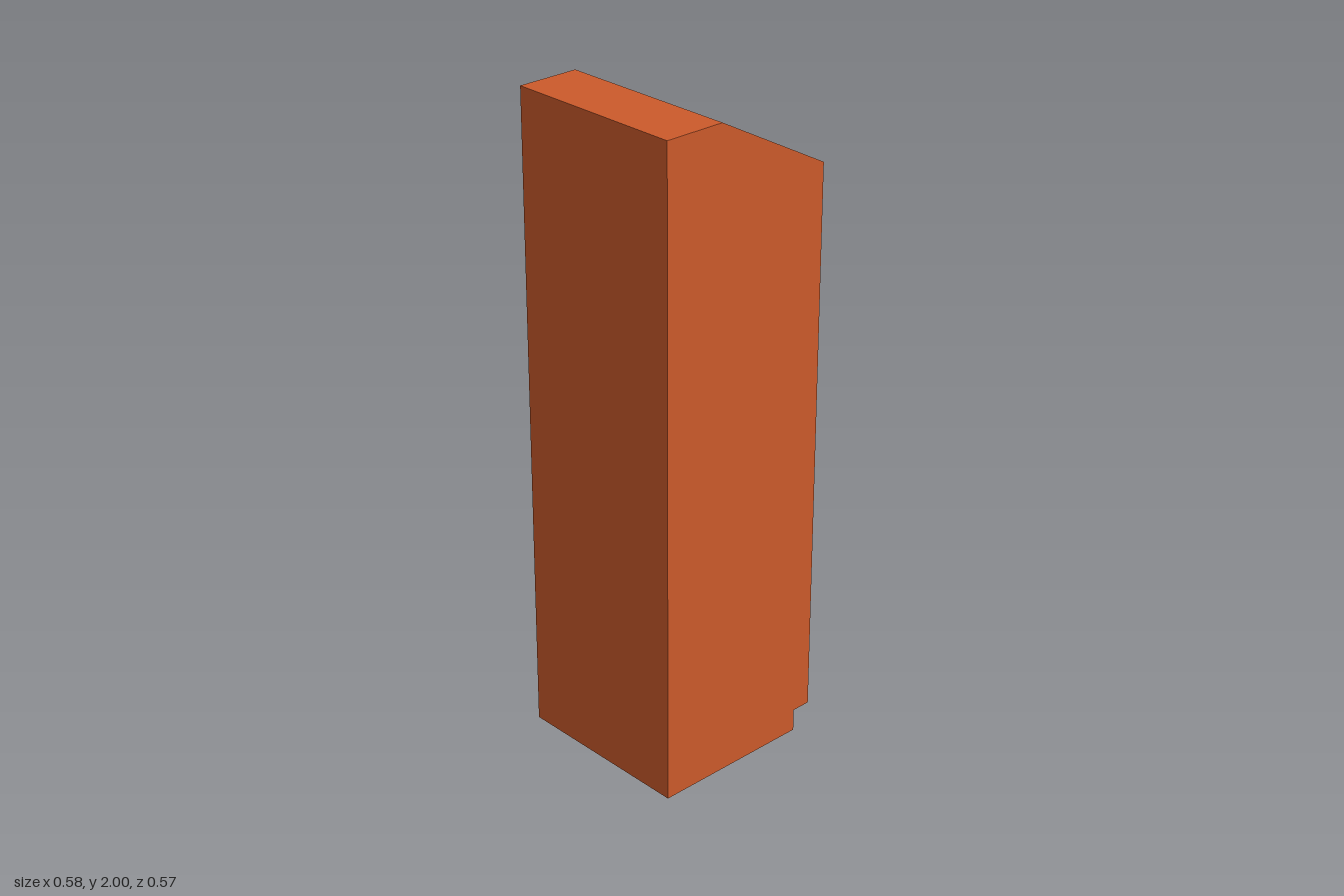
import * as THREE from 'three';

const mat = (color) => new THREE.MeshStandardMaterial({ color });

const polygon = (points, Type = THREE.Shape) => new Type(points.map(([x, y]) => new THREE.Vector2(x, y)));

const rect = (x0, y0, x1, y1) => [[x0, y0], [x1, y0], [x1, y1], [x0, y1]];

// Extrudes an x-y outline along z, from z0 to z1
function alongZ(name, shape, z0, z1, material) {
  const geo = new THREE.ExtrudeGeometry(shape, { depth: z1 - z0, bevelEnabled: false });
  geo.translate(0, 0, z0);
  const mesh = new THREE.Mesh(geo, material);
  mesh.name = name;
  return mesh;
}

// Extrudes an outline on the door side (u = -z, v = y) along x, from x0 to x1
function alongX(name, shape, x0, x1, material) {
  const geo = new THREE.ExtrudeGeometry(shape, { depth: x1 - x0, bevelEnabled: false });
  geo.rotateY(Math.PI / 2).translate(x0, 0, 0);
  const mesh = new THREE.Mesh(geo, material);
  mesh.name = name;
  return mesh;
}

export function createModel() {
  const locker = new THREE.Group();
  locker.name = 'locker';
  const paint = mat(0xcc5a2b);
  const doorPaint = mat(0xcdc4c7);
  const steel = mat(0x8c8c8c);

  const W = 0.286;      // half width
  const T = 0.02;       // sheet thickness
  const F = 0.285;      // front face
  const B = -0.288;     // back face

  // Base, back and sloped top as one folded section
  const outer = [
    [F - T, 0.07], [0.225, 0.07], [0.225, 0], [B, 0], [B, 2],
    [-0.095, 2], [F, 1.795], [F - T, 1.795],
  ];
  const inner = [[F - T, 1.782], [-0.1, 1.978], [B + T, 1.978], [B + T, 0.09], [F - T, 0.09]];
  locker.add(alongZ('cabinetShell', polygon([...outer, ...inner]), -W + T, W - T, paint));

  // Side panels
  locker.add(alongZ('leftSidePanel', polygon(outer), W - T, W, paint));
  locker.add(alongZ('rightSidePanel', polygon(outer), -W, -W + T, paint));

  // Door frame
  const frame = polygon(rect(-W, 0.07, W, 1.795));
  frame.holes.push(polygon(rect(-0.255, 0.105, 0.252, 1.757), THREE.Path));
  locker.add(alongX('doorFrame', frame, F - T, F, paint));

  // Door with two sets of pointed vent slots
  const door = polygon(rect(-0.25, 0.11, 0.247, 1.752));
  for (const top of [1.546, 0.419]) {
    for (let i = 0; i < 4; i++) {
      const y = top - i * 0.0245;
      const h = 0.006;
      door.holes.push(polygon([
        [-0.148, y], [-0.11, y - h], [0.11, y - h], [0.148, y], [0.11, y + h], [-0.11, y + h],
      ], THREE.Path));
    }
  }
  locker.add(alongX('door', door, 0.267, 0.277, doorPaint));

  // Latch: plate, lever and two round buttons
  const latch = new THREE.Group();
  latch.name = 'latch';
  const plate = polygon([[0.122, 1.043], [0.122, 0.965], [0.17, 0.825], [0.22, 0.825], [0.22, 1.043]]);
  latch.add(alongX('latchPlate', plate, 0.277, 0.284, steel));
  latch.add(alongX('latchLever', polygon(rect(0.181, 0.838, 0.213, 0.93)), 0.284, 0.288, doorPaint));
  for (const [name, y, color] of [['upperButton', 1.018, 0x1c1c80], ['lowerButton', 0.975, 0x1f8a24]]) {
    const geo = new THREE.CylinderGeometry(0.017, 0.017, 0.006, 24).rotateZ(-Math.PI / 2);
    const button = new THREE.Mesh(geo, mat(color));
    button.name = name;
    button.position.set(0.285, y, -0.197);
    latch.add(button);
  }
  locker.add(latch);

  return locker;
}
